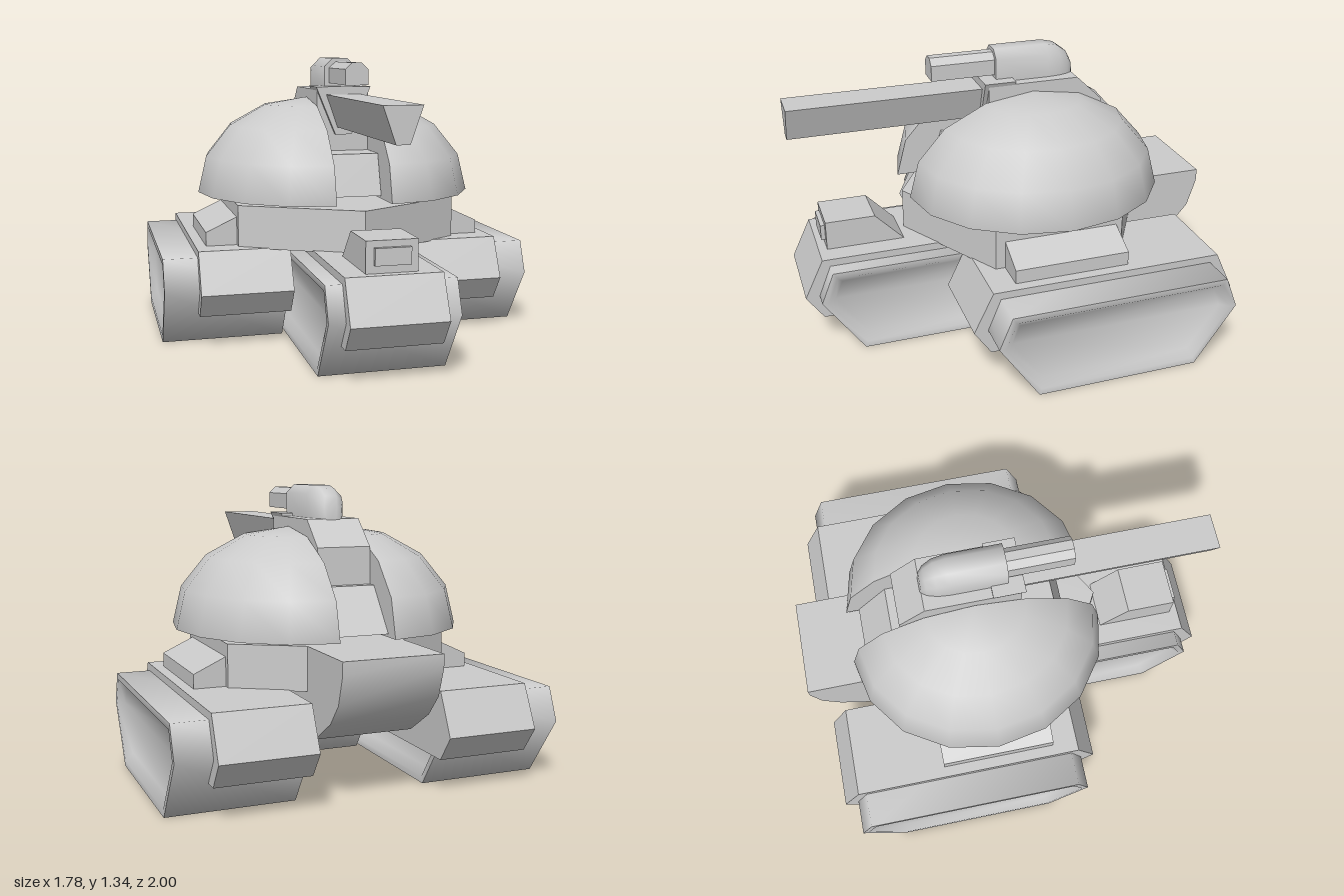
import * as THREE from 'three';
import { toCreasedNormals } from 'three/addons/utils/BufferGeometryUtils.js';

const grey = new THREE.MeshStandardMaterial({ color: 0xcccccc });

function part(parent, name, geometry) {
  const mesh = new THREE.Mesh(geometry, grey);
  mesh.name = name;
  parent.add(mesh);
  return mesh;
}

const shapeOf = (pts) => new THREE.Shape(pts.map(([a, b]) => new THREE.Vector2(a, b)));

// Outline in (x, y), running from z0 to z1
function prismZ(pts, z0, z1) {
  return new THREE.ExtrudeGeometry(shapeOf(pts), { depth: z1 - z0, bevelEnabled: false }).translate(0, 0, z0);
}

// Outline in (z, y), centred across x
function prismX(pts, width) {
  return prismZ(pts, -width / 2, width / 2).rotateY(-Math.PI / 2);
}

// Outline in (x, z), running from y0 to y1
function prismY(pts, y0, y1) {
  return prismZ(pts.map(([x, z]) => [x, -z]), y0, y1).rotateX(-Math.PI / 2);
}

// Closed skin through equal-sized convex loops, with end caps
function loft(loops, crease) {
  const n = loops[0].length;
  const last = (loops.length - 1) * n;
  const index = [];
  for (let i = 0; i < loops.length - 1; i++) {
    for (let j = 0; j < n; j++) {
      const a = i * n + j, b = i * n + (j + 1) % n;
      index.push(a, b, b + n, a, b + n, a + n);
    }
  }
  for (let j = 1; j < n - 1; j++) {
    index.push(0, j + 1, j, last, last + j, last + j + 1);
  }
  const g = new THREE.BufferGeometry();
  g.setAttribute('position', new THREE.Float32BufferAttribute(loops.flat(2), 3));
  g.setIndex(index);
  return toCreasedNormals(g, crease);
}

// Six-sided track profile from half lengths and heights at tip, top and bottom
const hexagon = (tip, tipY, top, topY, bottom, bottomY) => [
  [tip, tipY], [top, topY], [-top, topY], [-tip, tipY], [-bottom, bottomY], [bottom, bottomY],
];

// Track pod with recessed side panels and an armoured cover over both ends
function trackUnit(name, x, z, coverShift) {
  const unit = new THREE.Group();
  unit.name = name;
  unit.position.set(x, 0, z);
  const w = 0.29;
  const outer = hexagon(0.575, 0.28, 0.515, 0.43, 0.385, 0);
  const rim = hexagon(0.545, 0.28, 0.495, 0.402, 0.375, 0.03);
  const panel = hexagon(0.505, 0.277, 0.47, 0.365, 0.36, 0.066);
  const at = (outline, px) => outline.map(([pz, py]) => [px, py, pz]);
  part(unit, 'track', loft([
    at(panel, w - 0.035), at(rim, w), at(outer, w),
    at(outer, -w), at(rim, -w), at(panel, -w + 0.035),
  ], 1.4));
  part(unit, 'trackCover', prismX(hexagon(0.64, 0.276, 0.55, 0.465, 0.56, 0.16), 0.43)).position.x = coverShift;
  return unit;
}

// Half of the split dome, on the +x side
function domeHalf(name) {
  const half = new THREE.Group();
  half.name = name;
  const parts = {
    domeShell: new THREE.SphereGeometry(1, 8, 4, Math.PI / 2, Math.PI, 0, Math.PI / 2),
    domeInnerWall: new THREE.CircleGeometry(1, 8, 0, Math.PI).rotateY(-Math.PI / 2),
    domeFloor: new THREE.CircleGeometry(1, 8, -Math.PI / 2, Math.PI).rotateX(Math.PI / 2),
  };
  for (const [partName, g] of Object.entries(parts)) {
    part(half, partName, g.scale(0.55, 0.462, 0.61).translate(0.13, 0, 0));
  }
  half.position.set(0, 0.685, -0.145);
  return half;
}

// Arch with chamfered top corners, used for the upper gun
const arch = (w, y0, shoulder, y1, topW) => [
  [-w, y0], [w, y0], [w, shoulder], [topW, y1], [-topW, y1], [-w, shoulder],
];

export function createModel() {
  const model = new THREE.Group();
  model.name = 'tank';

  // Three track units
  model.add(trackUnit('frontTrack', 0, 0.36, 0));
  model.add(trackUnit('leftRearTrack', 0.6, -0.305, -0.085));
  model.add(trackUnit('rightRearTrack', -0.6, -0.305, 0.085));

  // Hull with pointed bow
  part(model, 'hull', prismY([
    [0, 0.475], [0.533, 0.17], [0.533, -0.45], [0.23, -0.63],
    [-0.23, -0.63], [-0.533, -0.45], [-0.533, 0.17],
  ], 0.46, 0.66));

  // Rear housing with a rounded underside
  part(model, 'rearHousing', toCreasedNormals(prismX([
    [-0.3, 0.66], [-1, 0.66], [-1, 0.6], [-0.96, 0.47], [-0.88, 0.375],
    [-0.72, 0.27], [-0.5, 0.21], [-0.2, 0.2],
  ], 0.46), 0.7));

  // Sloped side boxes
  const sideBox = [[0.5, 0.46], [0.68, 0.46], [0.68, 0.53], [0.53, 0.6], [0.5, 0.6]];
  for (const [name, s] of [['leftSideBox', 1], ['rightSideBox', -1]]) {
    part(model, name, prismZ(sideBox.map(([x, y]) => [s * x, y]), -0.42, 0.125));
  }

  // Lamp housing on the front track
  part(model, 'lampHousing', prismX([[0.87, 0.45], [0.87, 0.605], [0.635, 0.605], [0.5, 0.465], [0.5, 0.45]], 0.23));
  part(model, 'lamp', new THREE.BoxGeometry(0.16, 0.075, 0.06)).position.set(0, 0.538, 0.86);

  // Split dome
  const rightDome = domeHalf('rightDome');
  rightDome.rotation.y = Math.PI;
  model.add(domeHalf('leftDome'), rightDome);

  // Turret spine between the dome halves
  part(model, 'turretSpine', prismX([
    [0.3, 0.7], [0.24, 0.895], [0.07, 0.895], [0.07, 1.19], [-0.37, 1.19],
    [-0.495, 1.07], [-0.5, 0.9], [-0.54, 0.9], [-0.69, 0.7],
  ], 0.255));

  // Main gun
  part(model, 'gunMantlet', prismZ([[-0.04, 0.975], [0.04, 0.975], [0.135, 1.205], [-0.135, 1.205]], -0.06, 0.09));
  part(model, 'mainBarrel', prismZ([[-0.03, 1.01], [0.03, 1.01], [0.085, 1.168], [-0.085, 1.168]], 0, 1));

  // Upper gun with a body that rounds off to the rear: z, width scale, height scale
  const sections = [
    [-0.375, 0.4, -0.1], [-0.368, 0.55, 0.35], [-0.345, 0.75, 0.66],
    [-0.3, 0.93, 0.9], [-0.24, 1, 1], [0.02, 1, 1],
  ];
  const body = arch(0.077, -0.02, 0.1, 0.14, 0.037);
  part(model, 'upperGunBody', loft(sections.map(([z, sx, sy]) =>
    body.map(([x, y]) => [x * sx, 1.2 + (y > 0 ? y * sy : y), z])), 1.1));
  part(model, 'upperGunBarrel', prismZ(arch(0.055, 1.22, 1.293, 1.323, 0.022), 0, 0.325));

  return model;
}
